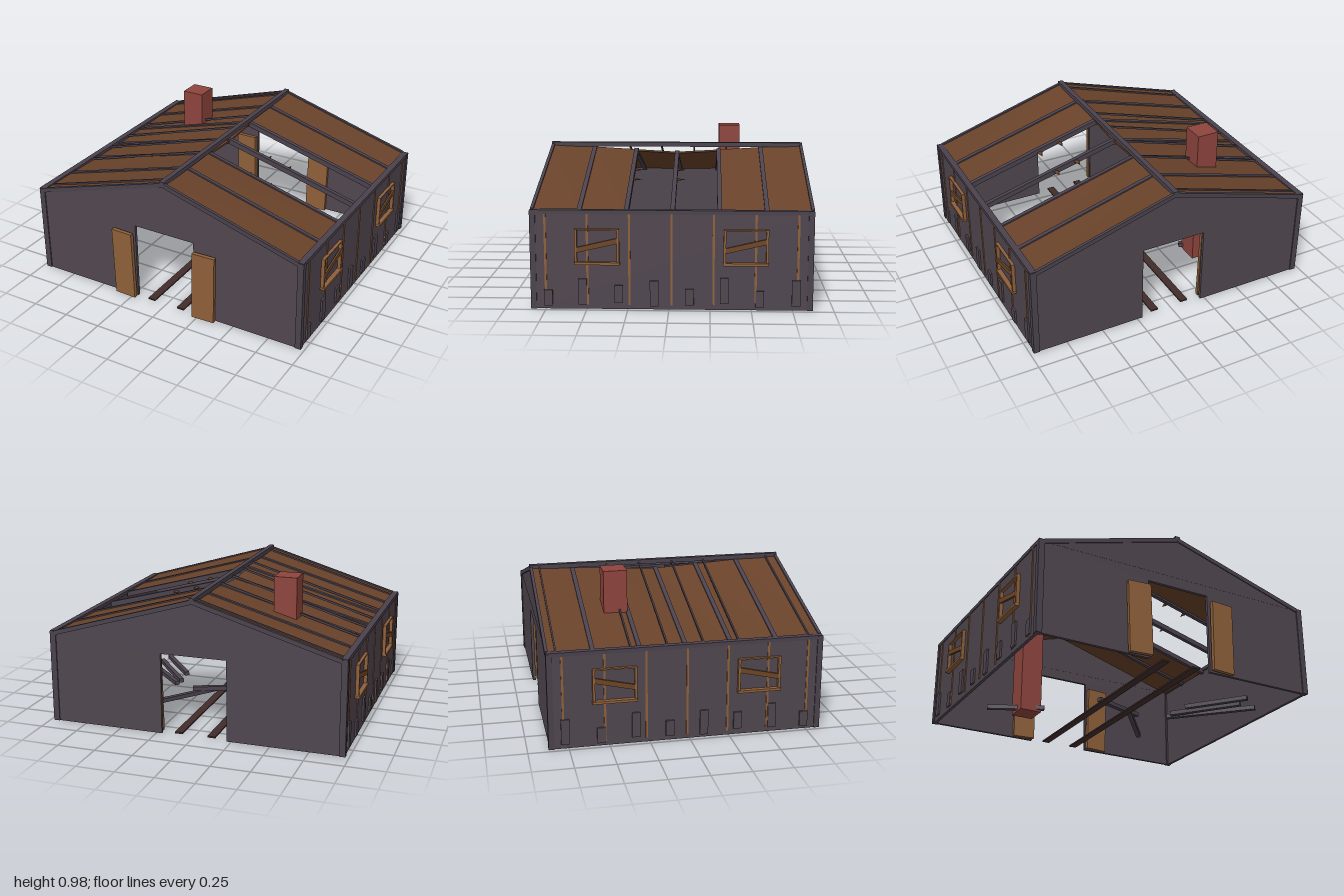
import * as THREE from 'three';

const mat = (name, color) => {
  const m = new THREE.MeshStandardMaterial({ color });
  m.name = name;
  return m;
};

export function createModel() {
  const wallMat = mat('greyWall', 0x50464f);
  const beamMat = mat('greyBeam', 0x4a424d);
  const roofMat = mat('brownRoof', 0x69422a);
  const woodMat = mat('lightWood', 0x8f603a);
  const plankMat = mat('darkPlank', 0x6e4526);
  const brickMat = mat('brick', 0x8e443d);
  const railMat = mat('darkRail', 0x412d2b);

  const root = new THREE.Group();
  const add = (name, geo, material, parent = root) => {
    const m = new THREE.Mesh(geo, material);
    m.name = name;
    parent.add(m);
    return m;
  };
  const box = (name, material, w, h, d, x, y, z, parent = root) => {
    const m = add(name, new THREE.BoxGeometry(w, h, d), material, parent);
    m.position.set(x, y, z);
    return m;
  };

  // Roof slab following the slope; sag lowers it toward the middle of the ridge
  const ROOF_X = 0.94;
  function slopeSlab(name, material, side, z0, z1, thick, lift, sag = 1) {
    const g = new THREE.BoxGeometry(1, 1, 1, 1, 1, 1).toNonIndexed();
    const p = g.attributes.position;
    for (let i = 0; i < p.count; i++) {
      const u = 0.5 + side * p.getX(i);
      const z = z0 + (p.getZ(i) + 0.5) * (z1 - z0);
      const t = sag * Math.max(0, 1 - Math.abs(z + 0.02) / 0.85);
      const ridge = 0.882 - 0.05 * t;
      const eave = 0.602 - 0.02 * t;
      const y = ridge + (eave - ridge) * u + lift + p.getY(i) * thick;
      p.setXYZ(i, side * u * ROOF_X, y, z);
    }
    g.computeVertexNormals();
    return add(name, g, material);
  }

  // End walls with a doorway, and gables above
  for (const [name, z] of [['front', 0.815], ['back', -0.865]]) {
    const s = new THREE.Shape();
    [[-0.96, 0], [-0.22, 0], [-0.22, 0.53], [0.215, 0.53], [0.215, 0], [0.96, 0], [0.96, 0.605], [-0.96, 0.605]]
      .forEach(([x, y], i) => (i ? s.lineTo(x, y) : s.moveTo(x, y)));
    const wall = add(name + 'Wall', new THREE.ExtrudeGeometry(s, { depth: 0.02, bevelEnabled: false }), wallMat);
    wall.position.z = z;
    const t = new THREE.Shape();
    t.moveTo(-0.96, 0.6);
    t.lineTo(0.96, 0.6);
    t.lineTo(0, 0.885);
    const gable = add(name + 'Gable', new THREE.ExtrudeGeometry(t, { depth: 0.022, bevelEnabled: false }), wallMat);
    gable.position.z = z - 0.001;
  }

  // Side walls with posts, strips, patches and boarded windows
  const patches = [[0.735, 0.02, 0.12], [0.525, 0.03, 0.19], [0.305, 0.04, 0.15], [0.09, 0.02, 0.18],
    [-0.125, 0.03, 0.13], [-0.335, 0.04, 0.2], [-0.55, 0.02, 0.12], [-0.77, 0.03, 0.19]];
  for (const s of [1, -1]) {
    const side = new THREE.Group();
    side.name = s > 0 ? 'leftSide' : 'rightSide';
    root.add(side);
    box('sideWall', wallMat, 0.02, 0.6, 1.68, s * 0.96, 0.3, -0.015, side);
    box('topPlate', beamMat, 0.04, 0.025, 1.71, s * 0.955, 0.602, -0.015, side);
    for (const z of [0.825, -0.855]) box('cornerPost', beamMat, 0.04, 0.61, 0.035, s * 0.957, 0.305, z, side);
    for (let i = 0; i < 7; i++) {
      box('wallStrip', woodMat, 0.008, 0.565, 0.013, s * 0.971, 0.31, 0.75 - i * 0.255, side);
    }
    for (const [z, y0, y1] of patches) {
      box('wallPatch', wallMat, 0.014, y1 - y0, 0.052, s * 0.975, (y0 + y1) / 2, z, side);
    }
    for (const z of [0.435, -0.465]) {
      const win = new THREE.Group();
      win.name = 'window';
      win.position.set(s * 0.98, 0.39, z);
      side.add(win);
      for (const dz of [0.128, -0.128]) box('windowPost', woodMat, 0.025, 0.21, 0.015, 0, 0.005, dz, win);
      box('windowSill', woodMat, 0.04, 0.016, 0.275, 0, -0.101, 0, win);
      box('windowHead', woodMat, 0.02, 0.008, 0.27, 0, 0.106, 0, win);
      const plank = box('windowPlank', plankMat, 0.012, 0.032, 0.255, s * 0.006, 0.01, -0.002, win);
      plank.rotation.x = 0.23;
    }
  }

  // Roof sheets, leaving two bays open on one slope
  const bays = [-0.87, -0.59, -0.305, -0.02, 0.26, 0.545, 0.835];
  for (let i = 0; i < 6; i++) {
    slopeSlab('roofSheet', roofMat, -1, bays[i], bays[i + 1], 0.012, 0);
    if (i !== 2 && i !== 3) slopeSlab('roofSheet', roofMat, 1, bays[i], bays[i + 1], 0.012, 0);
  }
  for (const s of [1, -1]) {
    for (let i = 1; i < 6; i++) slopeSlab('rafter', beamMat, s, bays[i] - 0.014, bays[i] + 0.014, 0.036, -0.003);
    slopeSlab('vergeBoard', beamMat, s, 0.822, 0.842, 0.03, 0, 0);
    slopeSlab('vergeBoard', beamMat, s, -0.875, -0.855, 0.03, 0, 0);
  }
  for (const z of [-0.81, -0.36, -0.135, 0.09, 0.31, 0.76]) {
    slopeSlab('batten', beamMat, -1, z - 0.005, z + 0.005, 0.014, 0.006, 0);
  }
  box('ridgeBeam', beamMat, 0.034, 0.03, 1.718, 0, 0.89, -0.016);

  // Splintered sheet remains on the bare rafters
  for (const z of [-0.03, 0.25]) {
    for (const x of [0.28, 0.43]) {
      const sp = add('splinter', new THREE.ConeGeometry(0.022, 0.06, 4), plankMat);
      sp.position.set(x, 0.83 - x * 0.27, z - 0.03);
      sp.rotation.x = -Math.PI / 2;
      sp.scale.z = 0.4;
    }
  }

  // Chimney
  box('chimney', brickMat, 0.15, 0.975, 0.15, -0.475, 0.4925, -0.385);

  // Slightly crooked doors outside the front and inside the back
  for (const z of [0.86, -0.825]) {
    for (const s of [1, -1]) {
      const d = box('door', woodMat, 0.155, 0.475, 0.026, s * 0.3, 0.241, z);
      d.rotation.set(0, s * 0.06, -s * 0.018);
    }
  }

  // Floor rails
  for (const x of [0.11, -0.11]) box('floorRail', railMat, 0.052, 0.01, 1.68, x, 0.005, 0);

  // Fallen beams on the floor
  const fallen = [[0.44, -0.03, 0.87, 0.41], [0.43, 0.03, 0.74, 0.42], [0.45, 0.19, 0.72, 0.53],
    [0.14, -0.05, 0.46, -0.46], [0.27, -0.16, -0.1, -0.03], [-0.38, -0.3, -0.73, -0.47]];
  fallen.forEach(([x0, z0, x1, z1], i) => {
    const b = box('fallenBeam', beamMat, Math.hypot(x1 - x0, z1 - z0), 0.028, 0.032,
      (x0 + x1) / 2, i === 4 ? 0.06 : 0.034, (z0 + z1) / 2);
    b.rotation.y = -Math.atan2(z1 - z0, x1 - x0);
  });

  return root;
}
